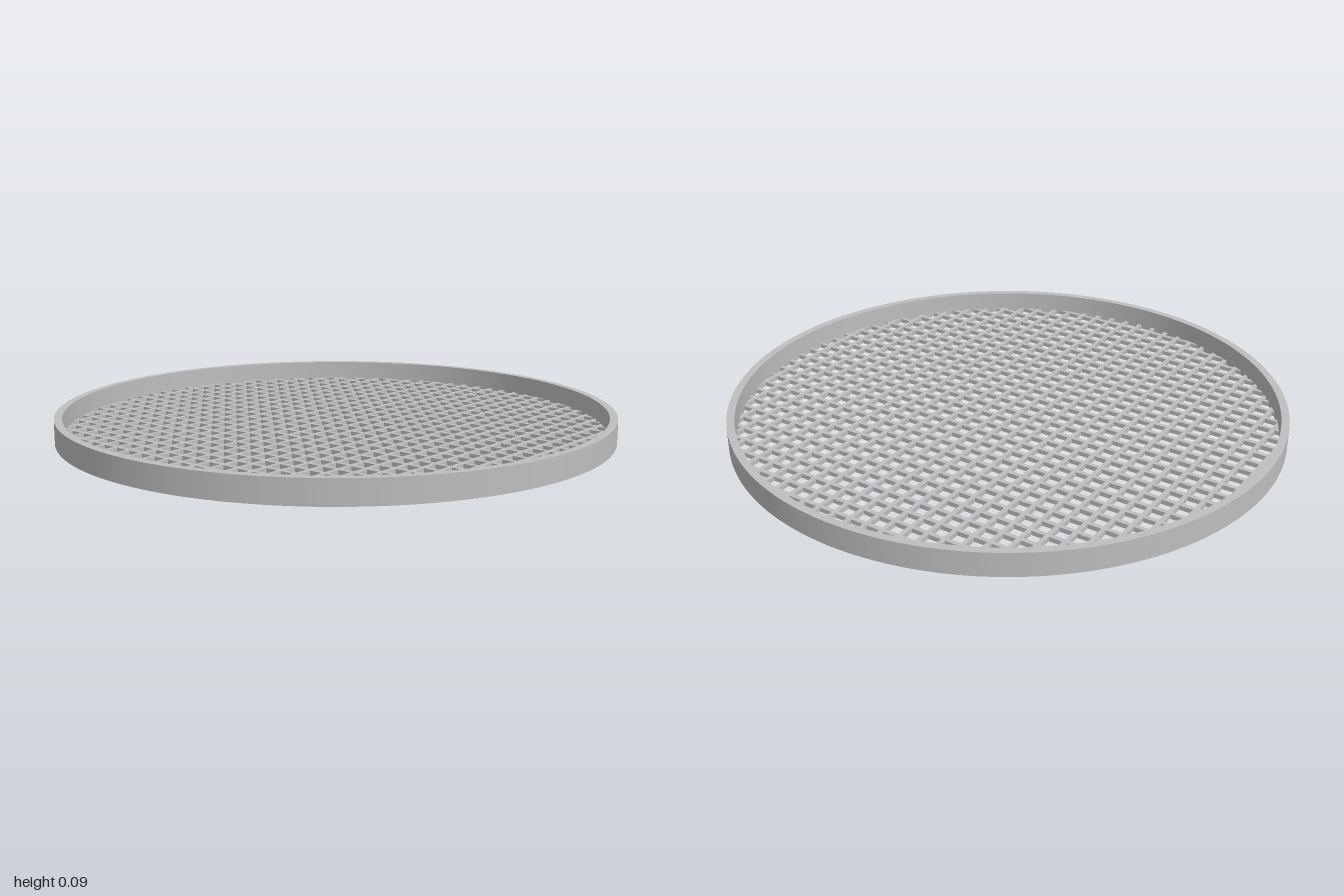
import * as THREE from 'three';
import { toCreasedNormals } from 'three/addons/utils/BufferGeometryUtils.js';

const RIM_HEIGHT = 0.085, RIM_INNER = 0.972;
const PITCH = 0.0636, BAR_WIDTH = 0.016, BAR_HEIGHT = 0.016, BARS = 30;

export function createModel() {
  const model = new THREE.Group();
  model.name = 'roundMeshTray';
  const metal = new THREE.MeshStandardMaterial({ color: 0xbebebe });
  metal.name = 'grey metal';

  // Rim: a thin upright ring
  const ring = new THREE.Shape().absarc(0, 0, 1, 0, Math.PI * 2);
  ring.holes.push(new THREE.Path().absarc(0, 0, RIM_INNER, 0, Math.PI * 2, true));
  const rimGeometry = new THREE.ExtrudeGeometry(ring, {
    depth: RIM_HEIGHT, bevelEnabled: false, curveSegments: 128,
  });
  rimGeometry.rotateX(-Math.PI / 2);
  const rim = new THREE.Mesh(toCreasedNormals(rimGeometry, 0.5), metal);
  rim.name = 'rim';
  model.add(rim);

  // Mesh floor: two crossing sets of bars, each ending inside the rim
  const floor = new THREE.Group();
  floor.name = 'meshFloor';
  for (let i = 0; i < BARS; i++) {
    const p = (i - (BARS - 1) / 2) * PITCH;
    const length = 2 * Math.sqrt(0.993 ** 2 - (Math.abs(p) + BAR_WIDTH / 2) ** 2);

    const across = new THREE.Mesh(new THREE.BoxGeometry(length, BAR_HEIGHT, BAR_WIDTH), metal);
    across.name = 'crossBar';
    across.position.set(0, BAR_HEIGHT / 2, p);

    const along = new THREE.Mesh(new THREE.BoxGeometry(BAR_WIDTH, BAR_HEIGHT, length), metal);
    along.name = 'lengthBar';
    along.position.set(p, BAR_HEIGHT / 2, 0);
    floor.add(across, along);
  }
  model.add(floor);
  return model;
}
